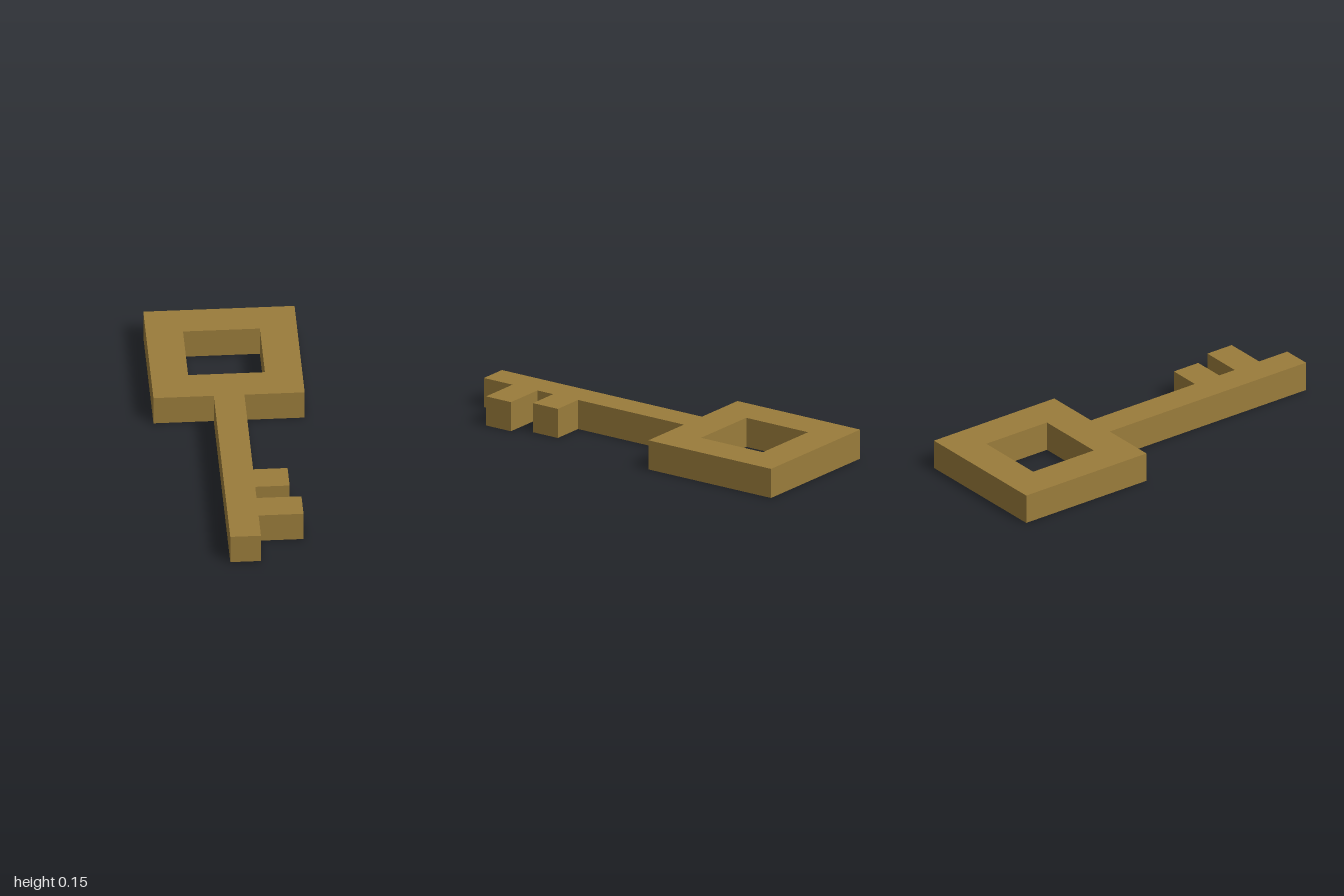
import * as THREE from 'three';

const THICKNESS = 0.154;

// Corner points are given as [x, z] on the ground plane
const toPoints = (corners) => corners.map(([x, z]) => new THREE.Vector2(x, -z));

export function createModel() {
  const brass = new THREE.MeshStandardMaterial({ color: 0x9a7c3b });
  brass.name = 'brass';

  // Outline: square bow, shaft and two teeth
  const outline = new THREE.Shape(toPoints([
    [-0.077, 1], [0.077, 1],
    [0.077, 0.822], [0.303, 0.822], [0.303, 0.668], [0.077, 0.668], // long tooth
    [0.077, 0.57], [0.25, 0.57], [0.25, 0.416], [0.077, 0.416],     // short tooth
    [0.077, -0.24], [0.38, -0.24], [0.38, -1], [-0.38, -1], [-0.38, -0.24], // bow
    [-0.077, -0.24],
  ]));

  // Square opening in the bow
  outline.holes.push(new THREE.Path(toPoints([
    [-0.193, -0.43], [-0.193, -0.813], [0.193, -0.813], [0.193, -0.43],
  ])));

  const geometry = new THREE.ExtrudeGeometry(outline, { depth: THICKNESS, bevelEnabled: false });
  geometry.rotateX(-Math.PI / 2); // lay flat on the ground

  const key = new THREE.Mesh(geometry, brass);
  key.name = 'keyBody';

  const group = new THREE.Group();
  group.name = 'key';
  group.add(key);
  return group;
}
